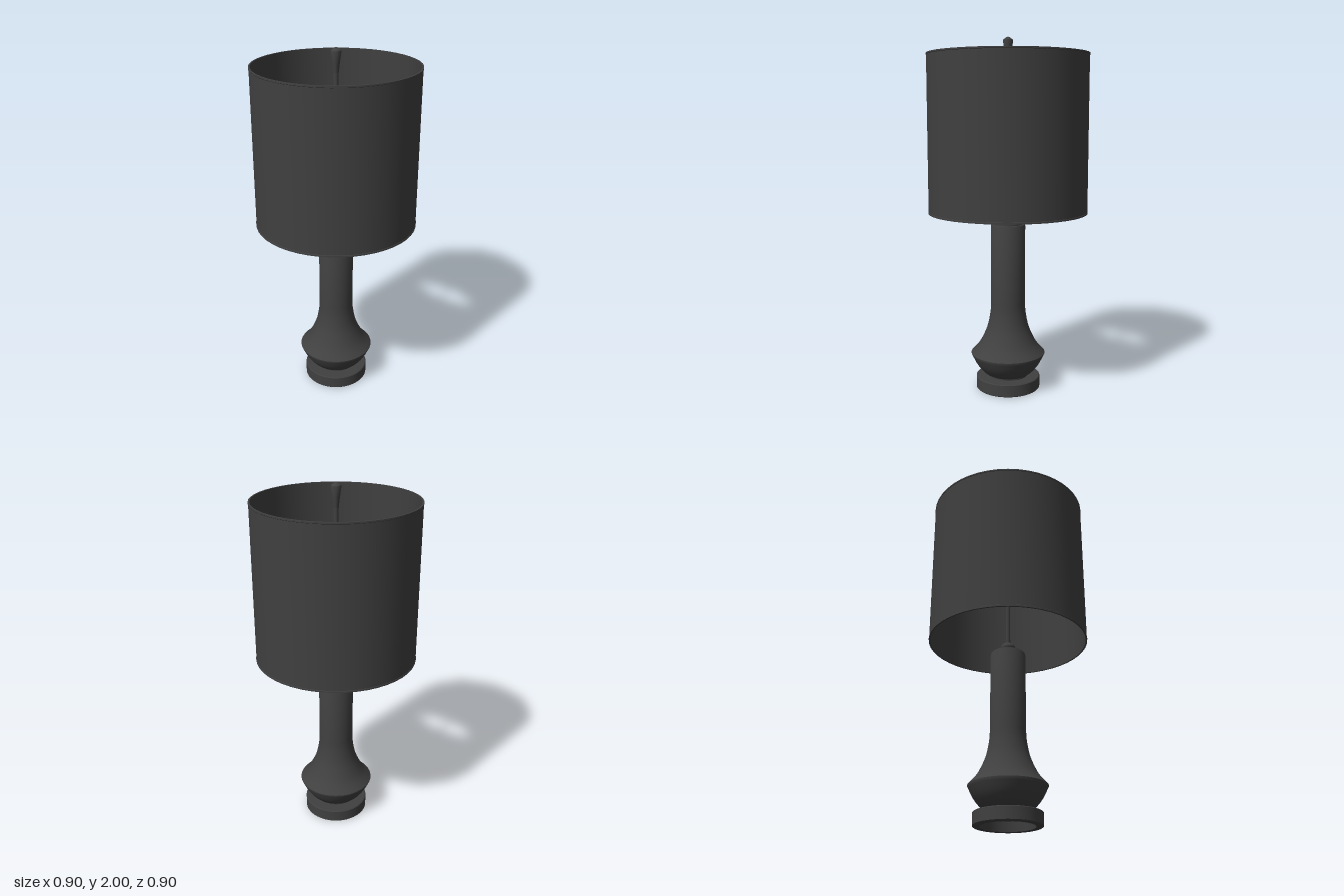
import * as THREE from 'three';
import { toCreasedNormals } from 'three/addons/utils/BufferGeometryUtils.js';

const material = new THREE.MeshStandardMaterial({ color: 0x404040 });

// Turn a [radius, height] profile, listed counter-clockwise, around the y axis
function turned(name, profile, segments = 48, crease = 0.5) {
  const points = profile.map(([r, y]) => new THREE.Vector2(r, y));
  const geometry = toCreasedNormals(new THREE.LatheGeometry(points, segments), crease);
  const mesh = new THREE.Mesh(geometry, material);
  mesh.name = name;
  return mesh;
}

// Sample a smooth curve through a few profile points
function smooth(profile, divisions) {
  const curve = new THREE.SplineCurve(profile.map(([r, y]) => new THREE.Vector2(r, y)));
  return curve.getPoints(divisions).map((p) => [p.x, p.y]);
}

export function createModel() {
  const lamp = new THREE.Group();
  lamp.name = 'tableLamp';

  // Foot: a disc, hollow underneath
  lamp.add(turned('foot', [
    [0, 0.055], [0.14, 0.055], [0.145, 0], [0.18, 0], [0.184, 0.004],
    [0.184, 0.068], [0.18, 0.072], [0, 0.072],
  ]));

  // Body: bowl below a sharp shoulder, concave flare, straight neck
  const bowl = smooth([[0.115, 0.08], [0.145, 0.1], [0.183, 0.147], [0.213, 0.207]], 10);
  const flare = smooth([[0.213, 0.21], [0.165, 0.265], [0.122, 0.355], [0.103, 0.44], [0.098, 0.5]], 16);
  lamp.add(turned('body', [
    [0, 0.068], [0.115, 0.068], ...bowl, ...flare,
    [0.098, 0.955], [0.095, 0.962], [0.083, 0.962], [0.083, 0.97], [0, 0.97],
  ]));

  // Flattened ball between neck and rod
  const knob = new THREE.Mesh(new THREE.SphereGeometry(0.042, 32, 20), material);
  knob.name = 'knob';
  knob.scale.y = 0.72;
  knob.position.y = 1;
  lamp.add(knob);

  // Rod through the shade
  const rod = new THREE.Mesh(new THREE.CylinderGeometry(0.013, 0.013, 0.9, 20), material);
  rod.name = 'rod';
  rod.position.y = 1.44;
  lamp.add(rod);

  // Finial: tapers outward, with a blunt cone on top
  lamp.add(turned('finial', [
    [0, 1.87], [0.014, 1.87], [0.02, 1.92], [0.028, 1.978], [0.026, 1.985], [0.008, 1.998], [0, 2],
  ], 24));

  // Shade: thin open drum with a narrow trim at each rim
  lamp.add(turned('shade', [
    [0.441, 1.03], [0.45, 1.03], [0.45, 1.038], [0.448, 1.04], [0.448, 1.9],
    [0.45, 1.902], [0.45, 1.91], [0.441, 1.91], [0.441, 1.03],
  ], 48));

  return lamp;
}
